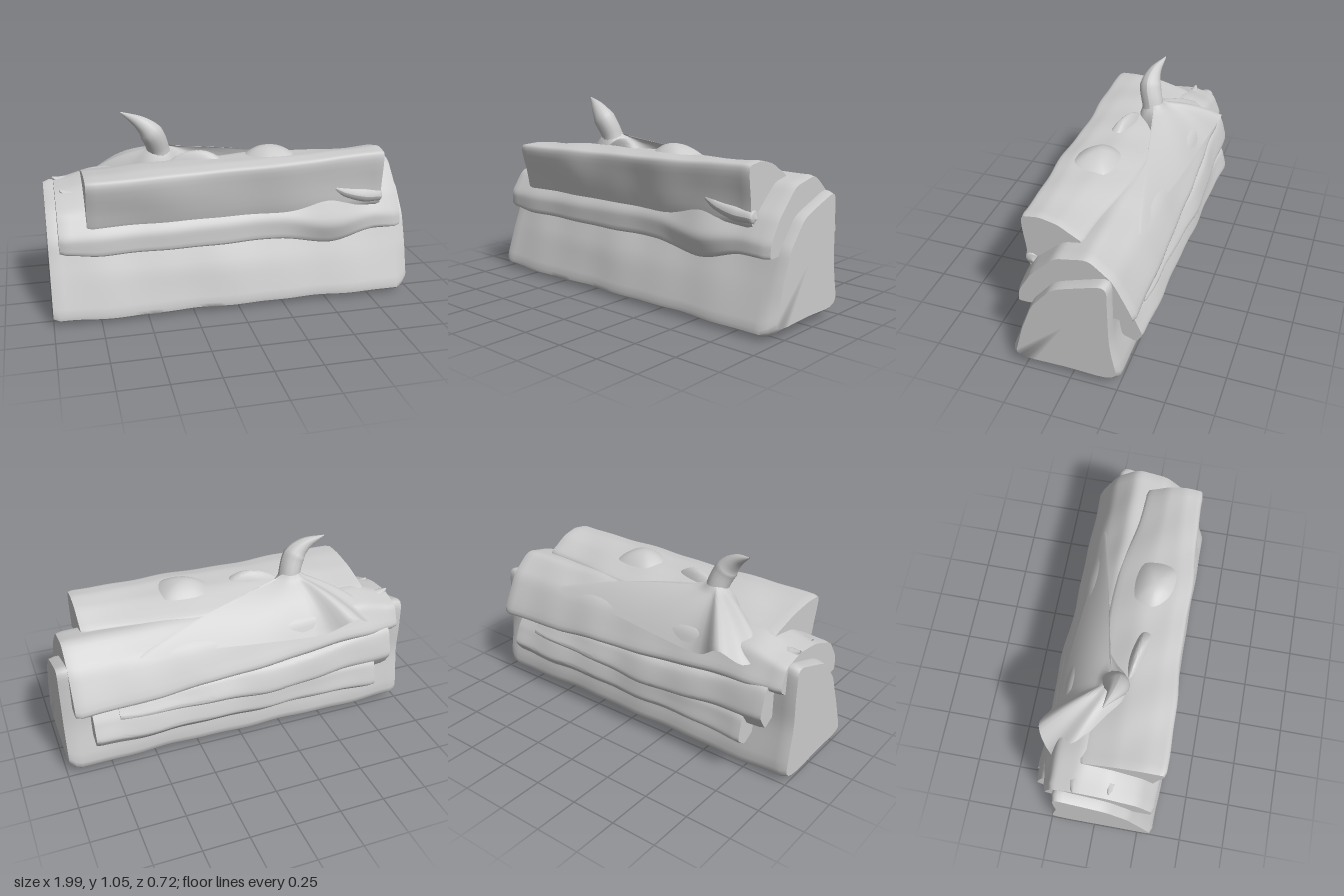
import * as THREE from 'three';
import { toCreasedNormals } from 'three/addons/utils/BufferGeometryUtils.js';

const material = new THREE.MeshStandardMaterial({ color: 0xcccccc, side: THREE.DoubleSide });

// Gentle, repeatable unevenness of weathered wood
const wobble = (x, y, z) =>
  Math.sin(x * 9 + y * 6 + 1) * 0.5 + Math.sin(x * 19 - z * 11) * 0.3 + Math.sin(x * 4 + z * 13 + y * 17) * 0.4;

// Closed rounded cross-section from [z, y] corners, running front to back over the top
function ring(profile, count) {
  const points = profile.map(([z, y]) => new THREE.Vector3(0, y, z));
  const path = new THREE.CurvePath();
  points.forEach((p, i) => {
    const prev = points.at(i - 1), next = points[(i + 1) % points.length];
    const start = p.clone().lerp(prev, 0.2), end = p.clone().lerp(next, 0.2);
    path.add(new THREE.QuadraticBezierCurve3(start, p, end));
    path.add(new THREE.LineCurve3(end, next.clone().lerp(p, 0.2)));
  });
  const per = count / path.curves.length;
  return path.curves.flatMap((c) => Array.from({ length: per }, (_, k) => c.getPoint(k / per)));
}

function meshOf(name, pos, index, crease) {
  const geometry = new THREE.BufferGeometry();
  geometry.setAttribute('position', new THREE.Float32BufferAttribute(pos, 3));
  geometry.setIndex(index);
  const mesh = new THREE.Mesh(toCreasedNormals(geometry, crease), material);
  mesh.name = name;
  return mesh;
}

// Skin a run of sections along x; stations are [x, profile]
function loft(name, stations, rough = 0.008, steps = 60) {
  const count = stations[0][1].length * 2 * 4;
  const rings = stations.map(([, p]) => ring(p, count));
  const x0 = stations[0][0], x1 = stations.at(-1)[0];
  const rows = [];
  for (let i = 0; i <= steps; i++) {
    const x = x0 + ((x1 - x0) * i) / steps;
    let s = 0;
    while (s < stations.length - 2 && x > stations[s + 1][0]) s++;
    const t = THREE.MathUtils.smoothstep(x, stations[s][0], stations[s + 1][0]);
    const row = rings[s].map((p, j) => p.clone().lerp(rings[s + 1][j], t));
    const mid = row.reduce((a, p) => a.add(p), new THREE.Vector3()).divideScalar(count);
    const inset = i === 0 || i === steps ? 0.96 : 1;
    for (const p of row) {
      p.sub(mid);
      const dir = p.clone().normalize();
      p.multiplyScalar(inset).add(mid);
      p.addScaledVector(dir, wobble(x, p.y, p.z) * rough);
      p.x = x;
    }
    rows.push(row);
  }
  const pos = [], index = [];
  rows.flat().forEach((p) => pos.push(p.x, p.y, p.z));
  for (let i = 0; i < steps; i++) {
    for (let j = 0; j < count; j++) {
      const a = i * count + j, b = i * count + ((j + 1) % count);
      const c = a + count, d = b + count;
      index.push(a, c, b, b, c, d);
    }
  }
  // End caps
  for (const i of [0, steps]) {
    const mid = rows[i].reduce((a, p) => a.add(p), new THREE.Vector3()).divideScalar(count);
    const m = pos.length / 3;
    pos.push(mid.x, mid.y, mid.z);
    for (let j = 0; j < count; j++) {
      const a = i * count + j, b = i * count + ((j + 1) % count);
      index.push(m, ...(i ? [b, a] : [a, b]));
    }
  }
  return meshOf(name, pos, index, 0.8);
}

// Mound falling from a round collar to an outline of [x, y, z] points; fall shapes the slope
function flare(name, [cx, cy, cz, radius], outline, fall, around = 64, steps = 14) {
  const rim = new THREE.CatmullRomCurve3(outline.map((p) => new THREE.Vector3(...p)), true);
  const pos = [], index = [];
  for (let i = 0; i <= steps; i++) {
    const t = i / steps;
    for (let j = 0; j < around; j++) {
      const p = rim.getPoint(j / around);
      const angle = Math.atan2(p.z - cz, p.x - cx);
      const x = THREE.MathUtils.lerp(cx + radius * Math.cos(angle), p.x, t);
      const z = THREE.MathUtils.lerp(cz + radius * Math.sin(angle), p.z, t);
      pos.push(x, THREE.MathUtils.lerp(cy, p.y, fall(t)), z);
      if (i === steps) continue;
      const a = i * around + j, b = i * around + ((j + 1) % around);
      index.push(a, b, a + around, b, b + around, a + around);
    }
  }
  return meshOf(name, pos, index, 1.2);
}

// Round limb through nodes [x, y, z, radius]
function limb(name, nodes, sides = 14, steps = 24) {
  const curve = new THREE.CatmullRomCurve3(nodes.map(([x, y, z]) => new THREE.Vector3(x, y, z)));
  const geometry = new THREE.TubeGeometry(curve, steps, 1, sides);
  const pos = geometry.attributes.position, p = new THREE.Vector3();
  for (let i = 0; i <= steps; i++) {
    const u = i / steps, f = u * (nodes.length - 1), s = Math.min(Math.floor(f), nodes.length - 2);
    const radius = THREE.MathUtils.lerp(nodes[s][3], nodes[s + 1][3], f - s);
    const c = curve.getPointAt(u), centre = curve.getPoint(u);
    for (let j = 0; j <= sides; j++) {
      const n = i * (sides + 1) + j;
      p.fromBufferAttribute(pos, n).sub(c).multiplyScalar(radius).add(centre);
      pos.setXYZ(n, p.x, p.y, p.z);
    }
  }
  geometry.computeVertexNormals();
  const mesh = new THREE.Mesh(geometry, material);
  mesh.name = name;
  return mesh;
}

export function createModel() {
  const log = new THREE.Group();
  log.name = 'splitLog';

  // Heartwood with flat base and upright back
  log.add(loft('heartwood', [
    [-1, [[0.35, 0.01], [0.27, 0.25], [0.2, 0.43], [0.08, 0.57], [-0.21, 0.67], [-0.21, 0.35], [-0.265, 0.01]]],
    [-0.5, [[0.355, 0.005], [0.29, 0.24], [0.205, 0.43], [0.08, 0.57], [-0.2, 0.66], [-0.21, 0.35], [-0.265, 0.01]]],
    [0.92, [[0.355, 0.01], [0.275, 0.24], [0.2, 0.425], [0.08, 0.57], [-0.21, 0.67], [-0.21, 0.35], [-0.265, 0.015]]],
    [0.985, [[0.32, 0.04], [0.27, 0.25], [0.2, 0.425], [0.08, 0.57], [-0.21, 0.67], [-0.21, 0.35], [-0.26, 0.04]]],
  ], 0.007));

  // Curved bark shell over the top, swelling into a knot at the front
  log.add(loft('barkShell', [
    [-0.945, [[0.32, 0.39], [0.32, 0.48], [0.24, 0.6], [0.07, 0.66], [-0.1, 0.68], [-0.23, 0.65], [-0.275, 0.53], [-0.1, 0.42]]],
    [-0.72, [[0.33, 0.37], [0.33, 0.48], [0.24, 0.61], [0.08, 0.71], [-0.08, 0.74], [-0.23, 0.69], [-0.305, 0.53], [-0.1, 0.42]]],
    [0.22, [[0.31, 0.365], [0.305, 0.49], [0.22, 0.61], [0.08, 0.725], [-0.09, 0.75], [-0.225, 0.66], [-0.335, 0.46], [-0.1, 0.42]]],
    [0.5, [[0.3, 0.32], [0.335, 0.45], [0.27, 0.61], [0.08, 0.725], [-0.09, 0.75], [-0.225, 0.65], [-0.335, 0.43], [-0.1, 0.42]]],
    [0.78, [[0.3, 0.38], [0.3, 0.47], [0.23, 0.59], [0.08, 0.72], [-0.09, 0.75], [-0.225, 0.64], [-0.335, 0.415], [-0.1, 0.42]]],
    [0.93, [[0.295, 0.38], [0.285, 0.46], [0.215, 0.58], [0.08, 0.72], [-0.09, 0.75], [-0.225, 0.64], [-0.335, 0.41], [-0.1, 0.42]]],
  ], 0.006));

  // Thick upper bark slab along the front, with two low swellings on top
  log.add(loft('upperSlab', [
    [-0.8, [[0.29, 0.475], [0.365, 0.785], [0.24, 0.79], [0.08, 0.78], [-0.12, 0.72], [0.05, 0.52]]],
    [0.1, [[0.27, 0.46], [0.335, 0.8], [0.24, 0.82], [0.08, 0.81], [-0.12, 0.74], [0.05, 0.52]]],
    [0.81, [[0.28, 0.5], [0.3, 0.825], [0.2, 0.835], [0.1, 0.815], [-0.03, 0.74], [0.05, 0.52]]],
  ], 0.008));
  const dome = (t) => t * t;
  log.add(flare('topBump', [0.2, 0.86, 0.13, 0.001],
    [[0.33, 0.8, 0.05], [0.33, 0.8, 0.24], [0.16, 0.8, 0.24], [0.06, 0.8, 0.13], [0.12, 0.8, 0.03]], dome, 32, 10));
  log.add(flare('topFlake', [-0.18, 0.85, 0.11, 0.001],
    [[-0.05, 0.79, 0.11], [-0.06, 0.79, 0.16], [-0.18, 0.79, 0.15], [-0.34, 0.79, 0.08], [-0.22, 0.79, 0.06]], dome, 32, 10));

  // Overlapping bark strips on the back
  log.add(loft('lowerBackStrip', [
    [-0.78, [[-0.15, 0.42], [-0.24, 0.45], [-0.335, 0.36], [-0.36, 0.24], [-0.3, 0.19], [-0.2, 0.24]]],
    [0.84, [[-0.15, 0.44], [-0.235, 0.44], [-0.3, 0.35], [-0.335, 0.25], [-0.3, 0.2], [-0.22, 0.22]]],
  ], 0.009));
  log.add(loft('upperBackStrip', [
    [-0.88, [[-0.15, 0.55], [-0.235, 0.58], [-0.29, 0.53], [-0.335, 0.39], [-0.28, 0.3], [-0.18, 0.36]]],
    [-0.2, [[-0.15, 0.53], [-0.23, 0.53], [-0.31, 0.47], [-0.35, 0.35], [-0.29, 0.29], [-0.18, 0.36]]],
    [0.7, [[-0.15, 0.44], [-0.22, 0.46], [-0.27, 0.41], [-0.31, 0.35], [-0.27, 0.29], [-0.18, 0.36]]],
  ], 0.01));

  // Broken branch and the root flare it grows from
  log.add(limb('branchStub', [
    [-0.37, 0.74, 0, 0.07], [-0.38, 0.84, 0.01, 0.06], [-0.42, 0.94, 0.037, 0.062],
    [-0.48, 1.0, 0.03, 0.037], [-0.575, 1.052, -0.005, 0.003],
  ]));
  log.add(flare('rootFlare', [-0.38, 0.86, 0, 0.05], [
    [-0.32, 0.75, 0.08], [-0.46, 0.75, 0.08], [-0.56, 0.73, 0.0], [-0.7, 0.69, -0.1], [-0.79, 0.65, -0.2],
    [-0.74, 0.62, -0.28], [-0.63, 0.69, -0.345], [-0.48, 0.6, -0.29], [-0.15, 0.61, -0.27], [0.2, 0.63, -0.24],
    [0.56, 0.65, -0.22], [0.25, 0.72, -0.15], [-0.1, 0.72, -0.09], [-0.24, 0.74, 0.0],
  ], (t) => 0.35 * Math.sqrt(t) + 0.65 * t * t));

  // Raised splinter on the front
  log.add(limb('splinter', [[0.48, 0.67, 0.28, 0.004], [0.6, 0.61, 0.27, 0.03], [0.72, 0.58, 0.265, 0.04], [0.81, 0.57, 0.25, 0.035], [0.82, 0.56, 0.24, 0.003]]));

  // Small shards at the right end
  [[-0.93, 0.69, -0.1], [-0.9, 0.67, 0.08]].forEach(([x, y, z]) =>
    log.add(limb('endShard', [[x + 0.12, y - 0.06, z, 0.06], [x + 0.03, y - 0.03, z, 0.035], [x - 0.02, y, z, 0.004]], 8, 8)));
  return log;
}
